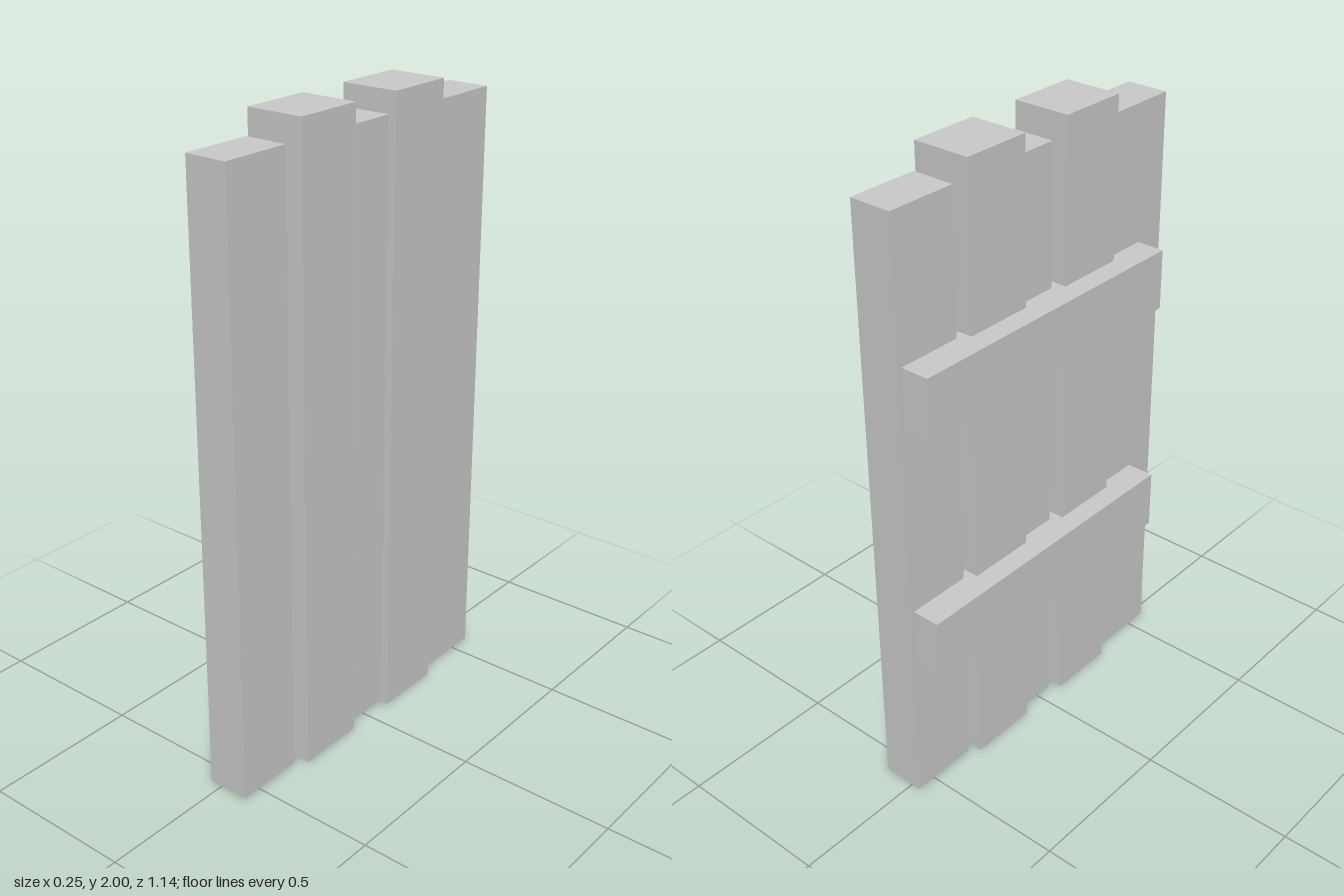
import * as THREE from 'three';

export function createModel() {
  const group = new THREE.Group();
  const material = new THREE.MeshStandardMaterial({ color: 0xcccccc, flatShading: true });

  // Box given by its low and high limits on each axis
  function board(name, [x0, x1], [y0, y1], [z0, z1]) {
    const mesh = new THREE.Mesh(new THREE.BoxGeometry(x1 - x0, y1 - y0, z1 - z0), material);
    mesh.position.set((x0 + x1) / 2, (y0 + y1) / 2, (z0 + z1) / 2);
    mesh.name = name;
    group.add(mesh);
  }

  // Short, thin planks; the middle one is set off centre into its thick neighbour
  const thinWidth = 0.225;
  [-0.57, -0.174, 0.343].forEach((z, i) =>
    board(`thinPlank${i + 1}`, [-0.036, 0.1], [0.007, 1.932], [z, z + thinWidth]));

  // Tall, thick planks
  const thickWidth = 0.224;
  [-0.313, 0.085].forEach((z, i) =>
    board(`thickPlank${i + 1}`, [-0.06, 0.125], [0, 2], [z, z + thickWidth]));

  // Cross rails joining the planks
  [['lowerRail', 0.5], ['upperRail', 1.3]].forEach(([name, y]) =>
    board(name, [-0.127, -0.011], [y, y + 0.192], [-0.555, 0.461]));

  return group;
}
